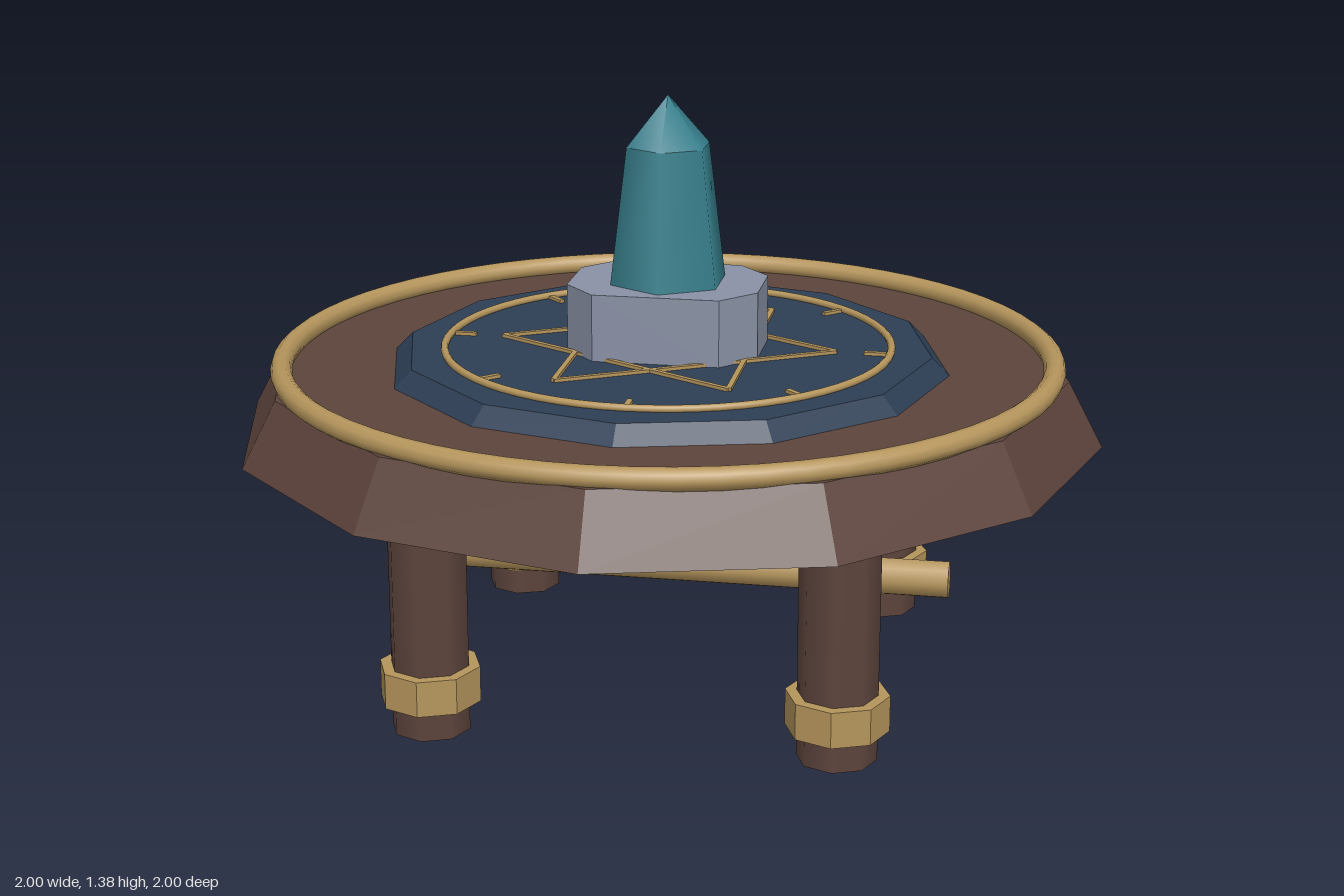
import * as THREE from 'three';

const mat = (name, color, flatShading = false) => {
  const m = new THREE.MeshStandardMaterial({ color, flatShading });
  m.name = name;
  return m;
};

export function createModel() {
  const wood = mat('darkWood', 0x5d443c);
  const gold = mat('brass', 0xb5955c);
  const blue = mat('navyInlay', 0x2d3e54);
  const stone = mat('greyStone', 0x8a92a6);
  const teal = mat('tealCrystal', 0x37808d);

  const model = new THREE.Group();
  model.name = 'crystalTable';

  const add = (name, geometry, material, x = 0, y = 0, z = 0, parent = model) => {
    const mesh = new THREE.Mesh(geometry, material);
    mesh.name = name;
    mesh.position.set(x, y, z);
    parent.add(mesh);
    return mesh;
  };
  // Faceted prism or frustum standing between two heights
  const prism = (name, material, rTop, rBottom, y0, y1, sides, flat, x = 0, z = 0) => {
    let g = new THREE.CylinderGeometry(rTop, rBottom, y1 - y0, sides);
    if (flat) {
      g = g.toNonIndexed();
      g.computeVertexNormals();
    }
    return add(name, g, material, x, (y0 + y1) / 2, z);
  };
  // Horizontal ring
  const ring = (name, radius, tube, y) => {
    const g = new THREE.TorusGeometry(radius, tube, 10, 64).rotateX(Math.PI / 2);
    return add(name, g, gold, 0, y, 0);
  };

  // Table top with inlay
  prism('tableTop', wood, 0.92, 1, 0.6, 0.75, 12, true);
  ring('rimRing', 0.887, 0.025, 0.765);
  prism('inlayDisc', blue, 0.61, 0.65, 0.75, 0.79, 12, true);
  ring('dialRing', 0.515, 0.009, 0.795);

  // Six-pointed star and dial ticks, as slim strips on the inlay
  const dial = new THREE.Group();
  dial.name = 'dialMarkings';
  model.add(dial);
  const starRadius = 0.39;
  for (let i = 0; i < 6; i++) {
    const a = (i * Math.PI) / 3;
    const strip = add('starLine', new THREE.BoxGeometry(0.012, 0.009, starRadius * Math.sqrt(3)), gold,
      Math.cos(a) * starRadius / 2, 0.793, -Math.sin(a) * starRadius / 2, dial);
    strip.rotation.y = a;
  }
  for (let i = 0; i < 8; i++) {
    const a = (i * Math.PI) / 4;
    const tick = add('dialTick', new THREE.BoxGeometry(0.05, 0.009, 0.013), gold,
      Math.cos(a) * 0.48, 0.793, -Math.sin(a) * 0.48, dial);
    tick.rotation.y = a;
  }

  // Chamfered stone socket
  const outline = [
    [0.22, 0.08], [0.145, 0.165], [-0.145, 0.165], [-0.22, 0.08],
    [-0.22, -0.08], [-0.145, -0.165], [0.145, -0.165], [0.22, -0.08],
  ].map(([x, y]) => new THREE.Vector2(x, y));
  const socket = new THREE.ExtrudeGeometry(new THREE.Shape(outline), { depth: 0.155, bevelEnabled: false });
  add('crystalSocket', socket.rotateX(-Math.PI / 2), stone, 0, 0.79, 0);

  // Crystal shaft and point
  prism('crystalShaft', teal, 0.1, 0.14, 0.945, 1.26, 6, false);
  add('crystalPoint', new THREE.ConeGeometry(0.1, 0.115, 6), teal, 0, 1.3175, 0);

  // Legs with brass collars
  for (const x of [-0.46, 0.46]) {
    for (const z of [-0.46, 0.46]) {
      prism('leg', wood, 0.09, 0.09, 0, 0.6, 8, false, x, z);
      prism('legCollar', gold, 0.116, 0.116, 0.07, 0.153, 8, true, x, z);
    }
  }

  // Brass crossbar under the top
  add('crossbar', new THREE.CylinderGeometry(0.045, 0.045, 1.33, 8).rotateZ(Math.PI / 2), gold, 0, 0.255, 0);

  return model;
}
